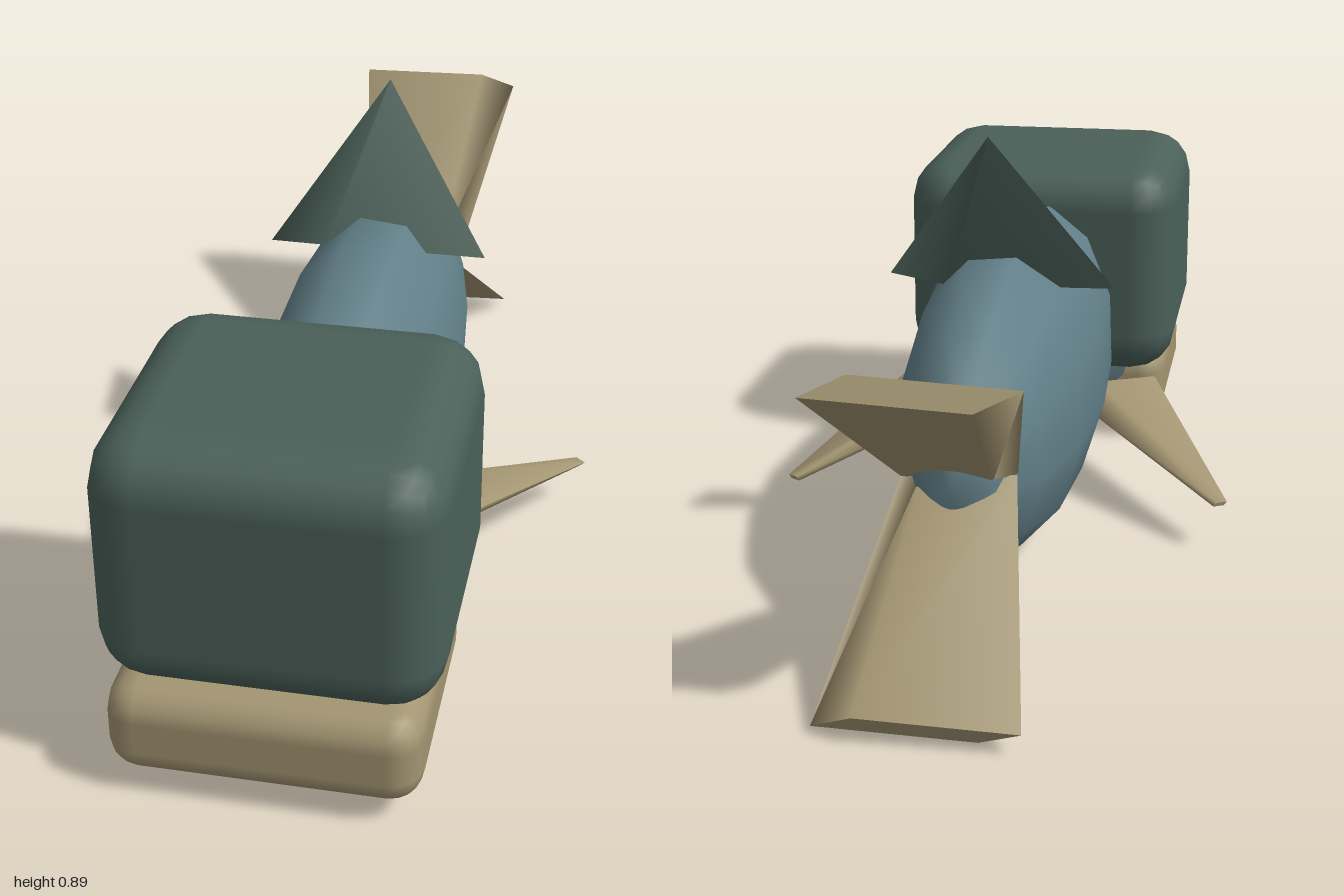
import * as THREE from 'three';
import { RoundedBoxGeometry } from 'three/addons/geometries/RoundedBoxGeometry.js';

const paint = (color) => new THREE.MeshStandardMaterial({ color });

export function createModel() {
  const model = new THREE.Group();
  const green = paint(0x4a6058), blue = paint(0x627f88), tan = paint(0xa39572);

  function add(parent, name, geometry, material) {
    const mesh = new THREE.Mesh(geometry, material);
    mesh.name = name;
    parent.add(mesh);
    return mesh;
  }

  // Low-sided ellipsoid with its poles along z
  function blob(name, center, radii, twist) {
    const g = new THREE.SphereGeometry(1, 12, 8);
    g.rotateY(twist).rotateX(Math.PI / 2).scale(...radii).translate(...center);
    return add(model, name, g, blue);
  }

  function block(name, size, center, radius, material) {
    const g = new RoundedBoxGeometry(...size, 2, radius);
    return add(model, name, g.translate(...center), material);
  }

  // Flattened four-sided taper running from one point to another
  function fin(parent, name, from, to, across, radii, thickness, twist, material) {
    const a = new THREE.Vector3(...from), b = new THREE.Vector3(...to);
    const y = b.clone().sub(a);
    const length = y.length();
    y.normalize();
    const x = new THREE.Vector3(...across);
    x.addScaledVector(y, -x.dot(y)).normalize();
    const z = x.clone().cross(y);
    const g = new THREE.CylinderGeometry(radii[1], radii[0], length, 4, 1, false, -THREE.MathUtils.degToRad(twist));
    g.scale(1, 1, thickness);
    g.applyMatrix4(new THREE.Matrix4().makeBasis(x, y, z).setPosition(a.lerp(b, 0.5)));
    return add(parent, name, g, material);
  }

  // Body and neck
  blob('body', [0, 0.324, 0.045], [0.2, 0.326, 0.71], 0.2);
  blob('neck', [0, 0.33, 0.61], [0.245, 0.3, 0.3], 0.1);

  // Head and jaw
  block('head', [0.62, 0.49, 0.58], [0, 0.445, 0.678], 0.1, green);
  block('jaw', [0.565, 0.183, 0.48], [0, 0.134, 0.76], 0.06, tan);

  // Back fin, leaning backwards
  fin(model, 'dorsalFin', [0, 0.565, -0.11], [0, 0.89, -0.26], [1, 0, 0], [0.255, 0], 0.09, 25, green);

  // Forked tail
  for (const [name, tipY] of [['upperTailFin', 0.622], ['lowerTailFin', 0.03]]) {
    fin(model, name, [0, 0.326, -0.572], [0, tipY, -0.982], [1, 0, 0], [0.125, 0.21], 0.15, -30, tan);
  }

  // Side fins, mirrored
  for (const side of [1, -1]) {
    const group = new THREE.Group();
    group.name = side > 0 ? 'leftSideFin' : 'rightSideFin';
    group.scale.x = side;
    fin(group, 'sideFin', [0.198, 0.21, 0.28], [0.455, 0.1, -0.09], [0.82, 0.02, 0.57], [0.11, 0.018], 0.32, 30, tan);
    model.add(group);
  }

  return model;
}
